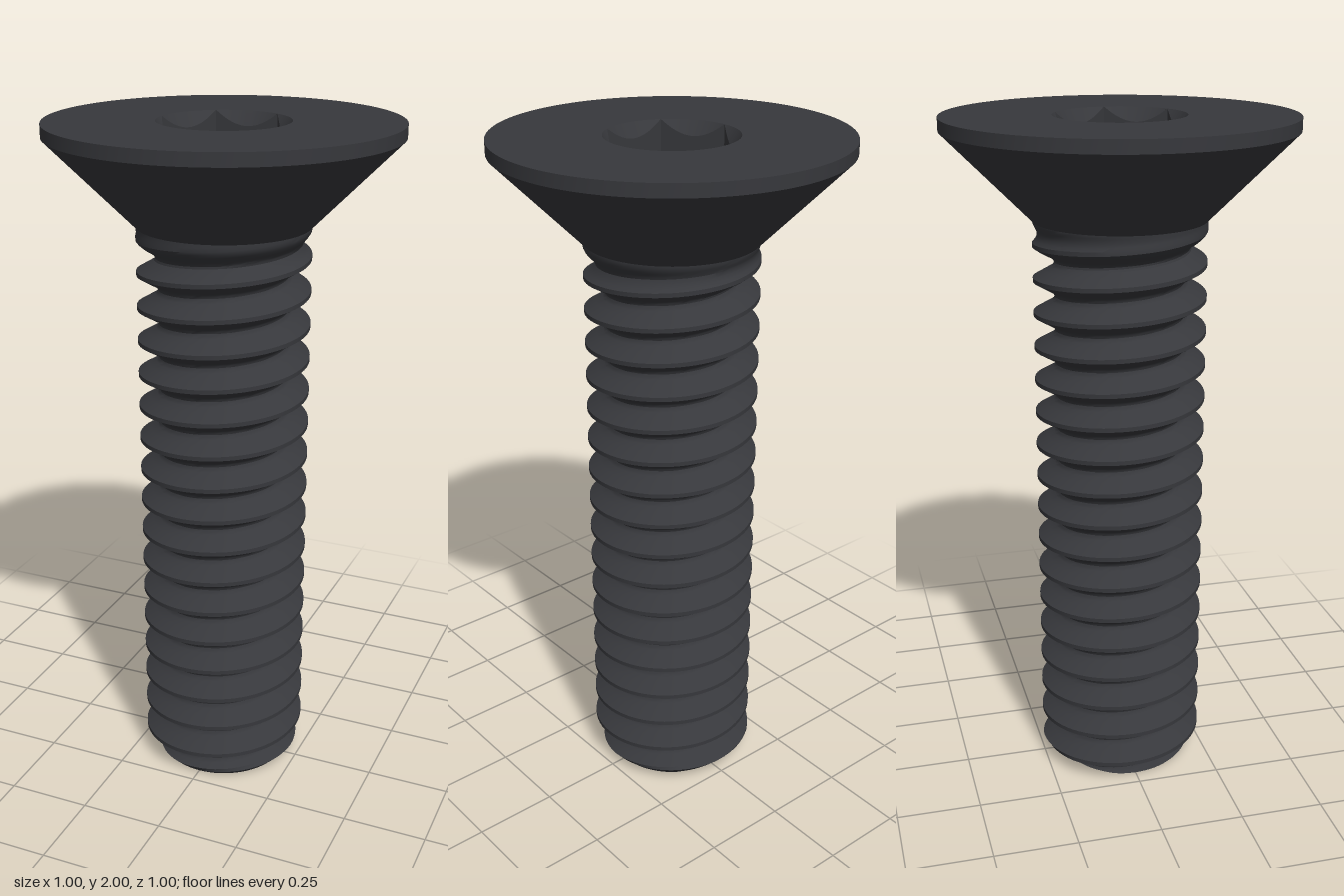
import * as THREE from 'three';
import { toCreasedNormals } from 'three/addons/utils/BufferGeometryUtils.js';

const PITCH = 0.1, MAJOR = 0.25, ROOT = 0.189;
const CREST_Y = 0.02;              // height of the crest at angle 0
const HEAD_BASE = 1.713, SHANK_TOP = 1.72;

// Skin between rings; ring(t, j) returns [radius, y] at angle t on ring j.
function loft(ringCount, segments, ring) {
  const positions = [];
  const point = (i, j) => {
    const t = (i / segments) * Math.PI * 2;
    const [r, y] = ring(t, j);
    return new THREE.Vector3(r * Math.cos(t), y, -r * Math.sin(t));
  };
  const triangle = (a, b, c) => {
    const area = b.clone().sub(a).cross(c.clone().sub(a)).length();
    if (area > 1e-9) for (const p of [a, b, c]) positions.push(p.x, p.y, p.z);
  };
  for (let j = 0; j < ringCount - 1; j++) {
    for (let i = 0; i < segments; i++) {
      const a = point(i, j), b = point(i + 1, j);
      const c = point(i + 1, j + 1), d = point(i, j + 1);
      triangle(a, b, c);
      triangle(a, c, d);
    }
  }
  const geometry = new THREE.BufferGeometry();
  geometry.setAttribute('position', new THREE.Float32BufferAttribute(positions, 3));
  return toCreasedNormals(geometry, 0.45);
}

// Thread radius: flat crest, 60 degree flanks, rounded root
function threadRadius(t, y) {
  const turn = (y - CREST_Y) / PITCH - t / (Math.PI * 2);
  const d = Math.abs(turn - Math.round(turn)) * PITCH;
  let r = MAJOR;
  if (d > 0.0375) r = ROOT + 0.007 * ((0.05 - d) / 0.0125) ** 2;
  else if (d > 0.00625) r = MAJOR - (d - 0.00625) * 1.728;
  // grooves run out below the head, tip is chamfered
  r = THREE.MathUtils.lerp(r, MAJOR, THREE.MathUtils.smoothstep(y, 1.6, SHANK_TOP));
  return Math.min(r, 0.2 + y);
}

// Rings follow the helix and are cut off level at both ends
function shankGeometry() {
  const steps = [-0.00625, 0.00625, 0.015, 0.026, 0.0375, 0.044, 0.05, 0.056, 0.0625, 0.074, 0.085];
  const turns = 20;
  return loft(turns * steps.length + 1, 72, (t, j) => {
    if (j === 0) return [0, 0];    // centre of the tip
    const k = j - 1;
    const level = CREST_Y + (Math.floor(k / steps.length) - 2 + t / (Math.PI * 2)) * PITCH
      + steps[k % steps.length];
    const y = THREE.MathUtils.clamp(level, 0, SHANK_TOP);
    return [threadRadius(t, y), y];
  });
}

// Countersunk head with a hexagonal socket
function headGeometry() {
  const mouth = 0.188, flat = 0.163, floor = 1.8;
  const sixth = Math.PI / 3;
  return loft(7, 120, (t, j) => {
    const a = (((t + 1e-7) % sixth) + sixth) % sixth - sixth / 2;
    const hex = flat / Math.cos(a);
    const lip = 2 - 0.04 * Math.max(0, (mouth - hex) / (mouth - flat));
    return [
      [MAJOR, HEAD_BASE],   // foot of the cone
      [0.5, 1.963],         // rim
      [0.5, 2],
      [mouth, 2],           // round mouth of the socket
      [hex, lip],           // lead-in meets the hexagon
      [hex, floor],
      [0, floor],
    ][j];
  });
}

export function createModel() {
  const group = new THREE.Group();
  group.name = 'countersunkScrew';
  const material = new THREE.MeshStandardMaterial({ color: 0x37383c });
  const add = (name, geometry) => {
    const mesh = new THREE.Mesh(geometry, material);
    mesh.name = name;
    group.add(mesh);
  };
  add('threadedShank', shankGeometry());
  add('socketHead', headGeometry());
  return group;
}
